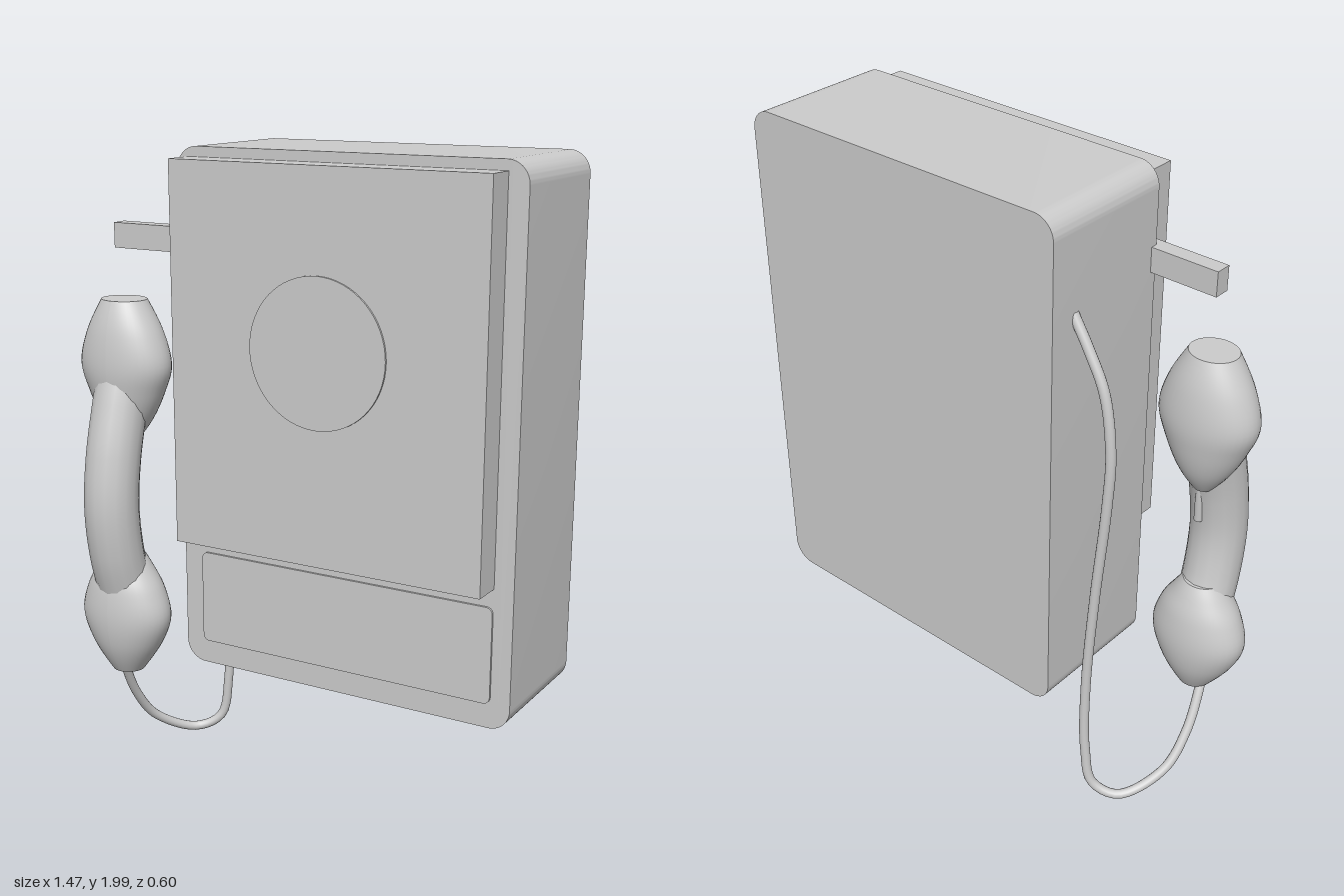
import * as THREE from 'three';
import { toCreasedNormals } from 'three/addons/utils/BufferGeometryUtils.js';

const grey = new THREE.MeshStandardMaterial({ color: 0xcccccc });
grey.name = 'light grey';

const vec = (p) => new THREE.Vector3(...p);

function add(parent, name, geometry) {
  const mesh = new THREE.Mesh(geometry, grey);
  mesh.name = name;
  parent.add(mesh);
  return mesh;
}

// Box given by its min and max corners
function box(parent, name, a, b) {
  const g = new THREE.BoxGeometry(b[0] - a[0], b[1] - a[1], b[2] - a[2]);
  g.translate((a[0] + b[0]) / 2, (a[1] + b[1]) / 2, (a[2] + b[2]) / 2);
  return add(parent, name, g);
}

// Slab with rounded corners in the xy plane
function roundedSlab(parent, name, x0, y0, x1, y1, z0, z1, r) {
  const s = new THREE.Shape();
  s.absarc(x1 - r, y0 + r, r, -Math.PI / 2, 0);
  s.absarc(x1 - r, y1 - r, r, 0, Math.PI / 2);
  s.absarc(x0 + r, y1 - r, r, Math.PI / 2, Math.PI);
  s.absarc(x0 + r, y0 + r, r, Math.PI, Math.PI * 1.5);
  const g = new THREE.ExtrudeGeometry(s, { depth: z1 - z0, bevelEnabled: false, curveSegments: 10 });
  g.translate(0, 0, z0);
  return add(parent, name, toCreasedNormals(g, 0.6));
}

// Round tube through points
function tube(parent, name, points, r, segments) {
  const curve = new THREE.CatmullRomCurve3(points.map(vec));
  return add(parent, name, new THREE.TubeGeometry(curve, segments, r, 16));
}

// Bulb turned from [radius, y] points, flattened in z where it is widest
function bulb(parent, name, profile, x, z) {
  const smooth = new THREE.SplineCurve(profile.map((p) => new THREE.Vector2(...p))).getPoints(28);
  const first = smooth[0], last = smooth[smooth.length - 1];
  const pts = [new THREE.Vector2(0, first.y), first.clone(), ...smooth, last.clone(), new THREE.Vector2(0, last.y)];
  const g = new THREE.LatheGeometry(pts, 40);
  const pos = g.attributes.position;
  for (let i = 0; i < pos.count; i++) {
    const r = Math.hypot(pos.getX(i), pos.getZ(i));
    pos.setZ(i, pos.getZ(i) * Math.min(1, 1.09 - 2.65 * r));
  }
  g.computeVertexNormals();
  g.translate(x, 0, z);
  return add(parent, name, g);
}

export function createModel() {
  const phone = new THREE.Group();
  phone.name = 'wallTelephone';

  // Housing and front plates
  roundedSlab(phone, 'housing', -0.365, 0.41, 0.735, 2, -0.3, 0.13, 0.065);
  box(phone, 'frontPanel', [-0.33, 0.83, 0.12], [0.675, 1.97, 0.225]);
  roundedSlab(phone, 'lowerPlate', -0.3, 0.485, 0.675, 0.775, 0.13, 0.137, 0.02);

  const dial = add(phone, 'dialDisc', new THREE.CylinderGeometry(0.218, 0.218, 0.008, 64));
  dial.rotation.x = Math.PI / 2;
  dial.position.set(0.16, 1.455, 0.227);

  // Cradle arm
  box(phone, 'cradleArm', [-0.58, 1.695, 0.11], [-0.33, 1.77, 0.16]);

  // Handset
  const handset = new THREE.Group();
  handset.name = 'handset';
  phone.add(handset);
  const hx = -0.585;
  bulb(handset, 'earpiece', [[0.03, 1.09], [0.085, 1.165], [0.128, 1.25], [0.155, 1.335], [0.128, 1.435], [0.073, 1.535]], hx, 0.115);
  bulb(handset, 'mouthpiece', [[0.052, 0.34], [0.122, 0.44], [0.155, 0.53], [0.132, 0.62], [0.09, 0.69], [0.06, 0.735]], hx, 0.152);
  tube(handset, 'handle', [[hx, 1.3, 0.125], [hx, 1.2, 0.157], [hx, 1.05, 0.196], [hx, 0.9, 0.213], [hx, 0.75, 0.197], [hx, 0.6, 0.155]], 0.086, 36);
  tube(handset, 'handleRib', [[hx, 1.15, 0.12], [hx + 0.01, 1.05, 0.118], [hx + 0.015, 0.96, 0.125]], 0.014, 8);

  // Cord from the mouthpiece round to the housing side
  tube(phone, 'cord', [
    [-0.61, 0.4, 0.16], [-0.623, 0.33, 0.125], [-0.632, 0.2, 0.055], [-0.615, 0.09, -0.03],
    [-0.535, 0.021, -0.15], [-0.465, 0.06, -0.195], [-0.438, 0.2, -0.205], [-0.433, 0.45, -0.205],
    [-0.455, 0.8, -0.205], [-0.487, 1.15, -0.205], [-0.493, 1.32, -0.205], [-0.465, 1.5, -0.205],
    [-0.41, 1.61, -0.205], [-0.355, 1.7, -0.205],
  ], 0.015, 110);

  return phone;
}
